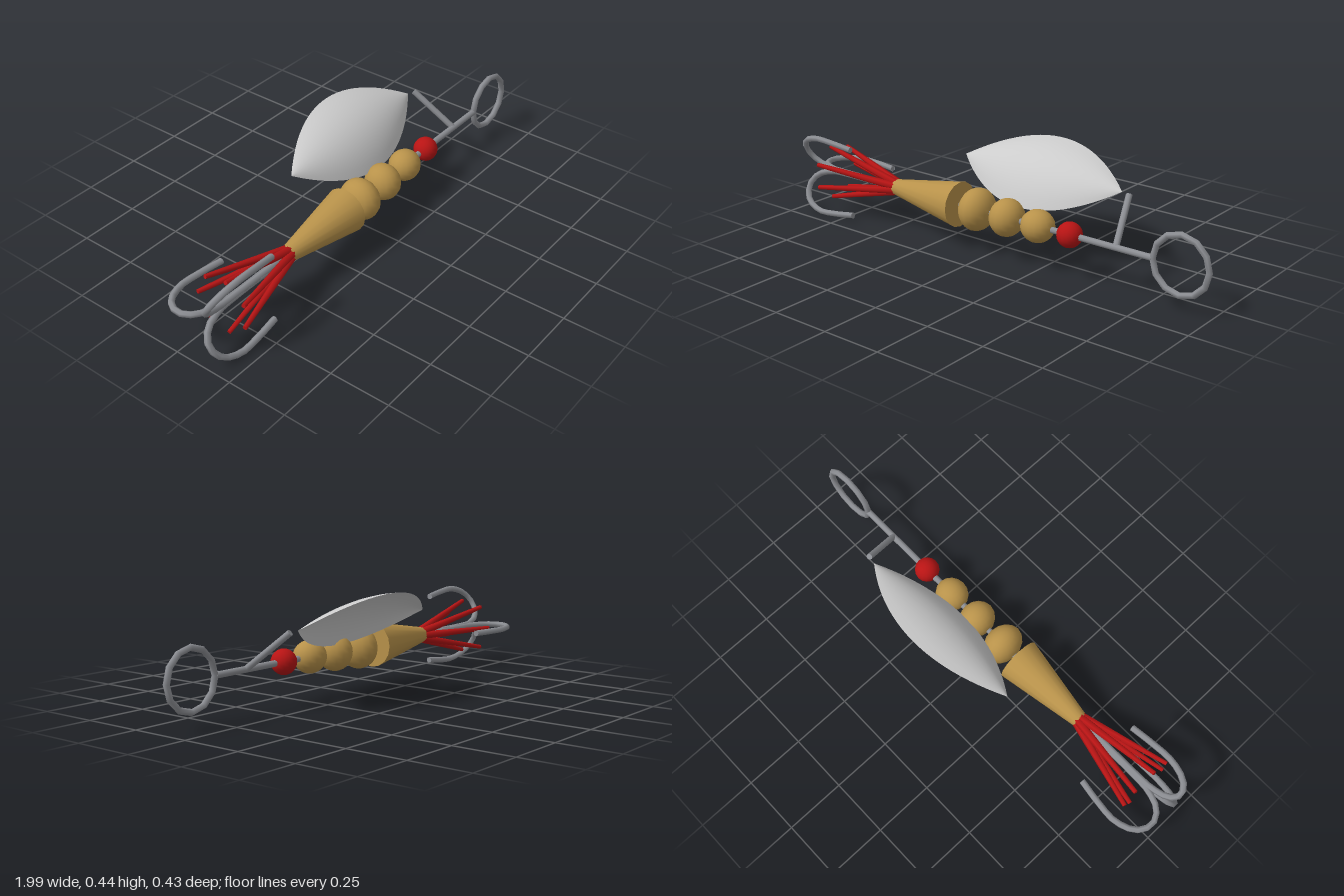
import * as THREE from 'three';

const material = (color) => new THREE.MeshStandardMaterial({ color, side: THREE.DoubleSide });
const V = (x, y, z) => new THREE.Vector3(x, y, z);

export function createModel() {
  const group = new THREE.Group();
  const steel = material(0x8c8e93), gold = material(0xb8924a), red = material(0xb81414);
  const silver = material(0xd6d6da);

  // Everything but the blade is strung along the x axis of this group.
  const body = new THREE.Group();
  body.name = 'body';
  body.position.set(0, 0.183, 0.1);
  group.add(body);

  const add = (name, geometry, mat, parent = body) => {
    const mesh = new THREE.Mesh(geometry, mat);
    mesh.name = name;
    parent.add(mesh);
    return mesh;
  };
  // Tapered rod from a to b
  const rod = (name, a, b, ra, rb, sides, mat) => {
    const dir = b.clone().sub(a);
    const mesh = add(name, new THREE.CylinderGeometry(rb, ra, dir.length(), sides), mat);
    mesh.position.copy(a).add(b).multiplyScalar(0.5);
    mesh.quaternion.setFromUnitVectors(V(0, 1, 0), dir.normalize());
    return mesh;
  };

  // Wire, eye ring and blade arm
  rod('shaft', V(-0.86, 0, 0), V(0.755, 0, 0), 0.013, 0.013, 8, steel);
  add('eyeRing', new THREE.TorusGeometry(0.116, 0.013, 6, 12), steel).position.x = 0.871;
  rod('bladeArm', V(0.597, 0, 0), V(0.54, 0.145, -0.17), 0.013, 0.013, 8, steel);

  // Weight and beads
  rod('coneWeight', V(-0.5, 0, 0), V(-0.15, 0, 0), 0.033, 0.094, 16, gold);
  const beads = [[-0.06, 0.07, 0.088], [0.09, 0.07, 0.077], [0.24, 0.07, 0.066], [0.39, 0.051, 0.051]];
  beads.forEach(([x, rx, r], i) => {
    const bead = add('bead' + (i + 1), new THREE.SphereGeometry(1, 16, 12), i === 3 ? red : gold);
    bead.position.x = x;
    bead.scale.set(rx, r, r);
  });

  // Treble hook: three bent wires around the shaft
  const bend = [[-0.5, 0.005], [-0.8, 0.005], [-0.88, 0.01], [-0.955, 0.04], [-0.983, 0.095],
    [-0.955, 0.155], [-0.875, 0.188], [-0.78, 0.183], [-0.68, 0.168]];
  for (let i = 0; i < 3; i++) {
    const curve = new THREE.CatmullRomCurve3(bend.map(([x, r]) => V(x, 0, -r)));
    const hook = new THREE.Group();
    hook.name = 'hook' + (i + 1);
    hook.rotation.x = i * Math.PI * 2 / 3;
    body.add(hook);
    add('hookWire', new THREE.TubeGeometry(curve, 24, 0.013, 6), steel, hook);
    const cap = add('hookTip', new THREE.CircleGeometry(0.013, 6), steel, hook);
    cap.position.set(-0.68, 0, -0.168);
    cap.rotation.y = Math.PI / 2;
  }

  // Tail of seven splayed bristles
  for (let i = 0; i < 7; i++) {
    const a = i * Math.PI * 2 / 7;
    rod('bristle' + (i + 1), V(-0.48, Math.sin(a) * 0.014, -Math.cos(a) * 0.014),
      V(-0.86, Math.sin(a) * 0.117, -Math.cos(a) * 0.117), 0.017, 0.009, 6, red);
  }

  // Spoon blade: a pointed leaf, bulging across its width and length
  const blade = new THREE.PlaneGeometry(2, 2, 24, 10);
  const pos = blade.attributes.position;
  for (let i = 0; i < pos.count; i++) {
    const u = pos.getX(i), v = pos.getY(i), taper = 1 - u * u;
    pos.setXYZ(i, u * 0.385, v * 0.176 * taper, 0.06 * (1 - v * v) * taper);
  }
  blade.computeVertexNormals();
  const spoon = add('spoonBlade', blade, silver, group);
  spoon.position.set(0.12, 0.331, -0.076);
  spoon.rotation.x = -Math.atan2(0.77, 0.64);

  return group;
}
